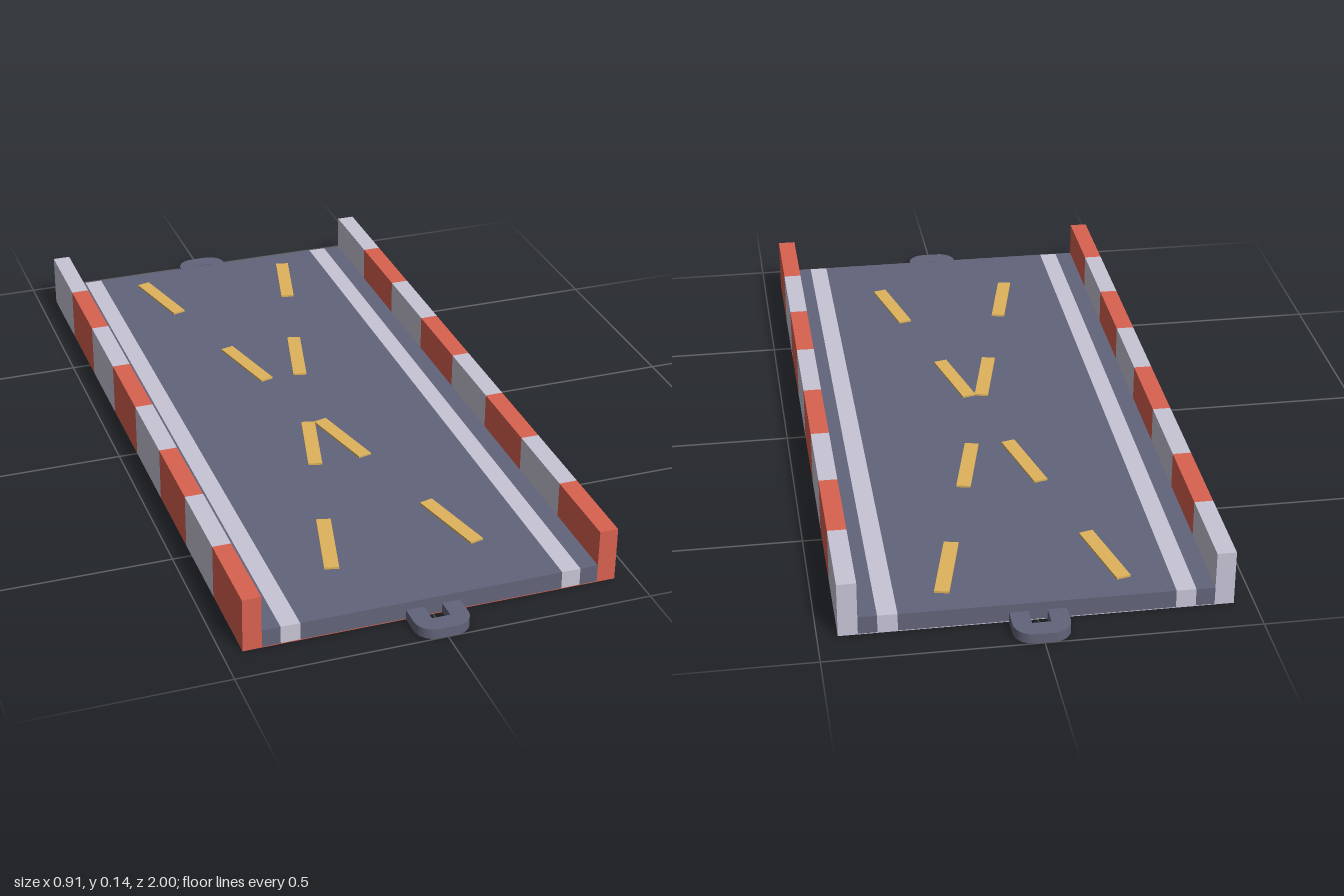
import * as THREE from 'three';

const mat = (name, color) => {
  const m = new THREE.MeshStandardMaterial({ color });
  m.name = name;
  return m;
};

export function createModel() {
  const group = new THREE.Group();
  const red = mat('red', 0xd8614f);
  const white = mat('pale grey', 0xc8c5d6);
  const dark = mat('asphalt', 0x62657a);
  const yellow = mat('yellow', 0xdeb35c);

  const halfW = 0.453, innerW = 0.408, halfL = 0.907;
  const wallH = 0.136, floorH = 0.002, deckH = 0.046;

  const add = (name, geometry, material, x = 0, y = 0, z = 0) => {
    const mesh = new THREE.Mesh(geometry, material);
    mesh.name = name;
    mesh.position.set(x, y, z);
    group.add(mesh);
    return mesh;
  };

  // Channel of side walls and thin floor, in alternating bands
  const channel = new THREE.Shape([
    [-halfW, 0], [halfW, 0], [halfW, wallH], [innerW, wallH],
    [innerW, floorH], [-innerW, floorH], [-innerW, wallH], [-halfW, wallH],
  ].map(([x, y]) => new THREE.Vector2(x, y)));
  const bands = 8, bandL = 2 * halfL / bands;
  const bandGeometry = new THREE.ExtrudeGeometry(channel, { depth: bandL, bevelEnabled: false });
  for (let i = 0; i < bands; i++) {
    add('barrierBand', bandGeometry, i % 2 ? red : white, 0, 0, -halfL + i * bandL);
  }

  // Road deck with an inset line along each side
  const strip = (name, x0, x1, material) => add(name,
    new THREE.BoxGeometry(x1 - x0, deckH - floorH, 2 * halfL), material,
    (x0 + x1) / 2, (deckH + floorH) / 2, 0);
  strip('roadDeck', -0.318, 0.318, dark);
  strip('leftLine', 0.318, 0.364, white);
  strip('rightLine', -0.364, -0.318, white);
  strip('leftRoadEdge', 0.364, innerW, dark);
  strip('rightRoadEdge', -innerW, -0.364, dark);

  // Mirrored pairs of slanted marks: x, z, slant
  const slant = 0.24;
  const markGeometry = new THREE.BoxGeometry(0.035, 0.005, 0.209);
  for (const [x, z, turn] of [
    [0.185, -0.737, -slant], [0.071, -0.285, -slant],
    [0.041, 0.17, slant], [0.156, 0.624, slant],
  ]) {
    for (const side of [1, -1]) {
      add('roadMark', markGeometry, yellow, side * x, deckH + 0.0025, z).rotation.y = side * turn;
    }
  }

  // Connector loop at each end
  const w = 0.066, r = 0.045, reach = 0.093;
  const loop = new THREE.Shape();
  loop.moveTo(-w, 0);
  loop.lineTo(-0.022, 0);
  loop.lineTo(-0.022, 0.048);
  loop.lineTo(0.022, 0.048);
  loop.lineTo(0.022, 0);
  loop.lineTo(w, 0);
  loop.lineTo(w, reach - r);
  loop.absarc(w - r, reach - r, r, 0, Math.PI / 2, false);
  loop.absarc(r - w, reach - r, r, Math.PI / 2, Math.PI, false);
  loop.closePath();
  const loopGeometry = new THREE.ExtrudeGeometry(loop, { depth: 0.025, bevelEnabled: false, curveSegments: 6 });
  loopGeometry.rotateX(Math.PI / 2).translate(0, 0.025, 0);
  add('frontConnector', loopGeometry, dark, 0, 0, halfL);
  add('backConnector', loopGeometry, dark, 0, 0, -halfL).rotation.y = Math.PI;

  return group;
}
